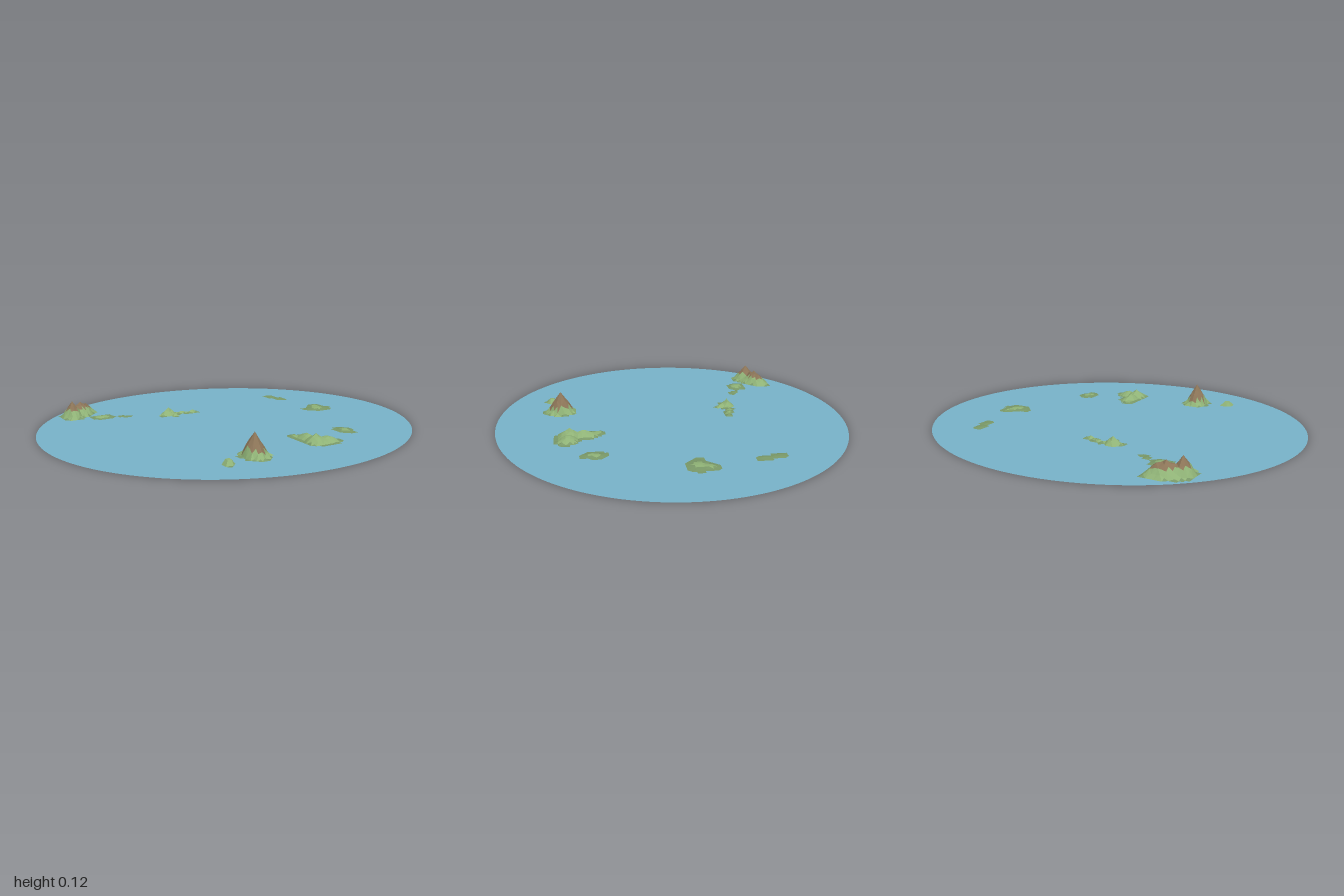
import * as THREE from 'three';

const STEP = 0.02; // terrain grid spacing
const SHORE = 0.001; // height of the waterline vertices

function material(name, color, side = THREE.FrontSide) {
  const m = new THREE.MeshStandardMaterial({ color, side, flatShading: true });
  m.name = name;
  return m;
}

// Repeatable variation for a grid point, 0..1
function hash(i, j) {
  const s = Math.sin(i * 127.1 + j * 311.7) * 43758.5453;
  return s - Math.floor(s);
}

// Height of the land at a grid point; each hill is [x, z, height, radiusX, radiusZ, turn]
function heightAt(hills, i, j) {
  let y = 0;
  for (const [x, z, height, radiusX, radiusZ, turn = 0] of hills) {
    const c = Math.cos(turn), s = Math.sin(turn);
    const dx = i * STEP - x, dz = j * STEP - z;
    const reach = Math.hypot((dx * c + dz * s) / radiusX, (dz * c - dx * s) / radiusZ);
    const d = reach + (hash(i, j) - 0.5) * 0.15 * Math.min(1, reach);
    if (d < 1) y = Math.max(y, height * (1 - d) ** 0.85);
  }
  return y + SHORE;
}

// Faceted land: grid triangles above the water, sorted into lowland, grass and rock
function makeIsland(name, materials, rockLine, ...hills) {
  const bands = [[], [], []];
  const range = (axis) => [
    Math.floor(Math.min(...hills.map((h) => h[axis] - Math.max(h[3], h[4]))) / STEP) - 1,
    Math.ceil(Math.max(...hills.map((h) => h[axis] + Math.max(h[3], h[4]))) / STEP) + 1,
  ];
  const [i0, i1] = range(0), [j0, j1] = range(1);
  const point = (i, j) => [i * STEP, heightAt(hills, i, j), j * STEP];
  const addTriangle = (...p) => {
    if (Math.max(...p.map((q) => q[1])) <= SHORE) return;
    const mean = (p[0][1] + p[1][1] + p[2][1]) / 3;
    const band = mean > rockLine ? 2 : mean > 0.0055 ? 1 : 0;
    bands[band].push(...p.flat());
  };
  for (let i = i0; i < i1; i++) {
    for (let j = j0; j < j1; j++) {
      const a = point(i, j), b = point(i, j + 1), c = point(i + 1, j + 1), d = point(i + 1, j);
      // Alternate the diagonals for a sawtooth coast
      if ((i + j) % 2 === 0) {
        addTriangle(a, b, d);
        addTriangle(b, c, d);
      } else {
        addTriangle(a, b, c);
        addTriangle(a, c, d);
      }
    }
  }
  const geometry = new THREE.BufferGeometry();
  geometry.setAttribute('position', new THREE.Float32BufferAttribute(bands.flat(), 3));
  let start = 0;
  bands.forEach((band, k) => {
    if (band.length) geometry.addGroup(start, band.length / 3, k);
    start += band.length / 3;
  });
  geometry.computeVertexNormals();
  const mesh = new THREE.Mesh(geometry, materials);
  mesh.name = name;
  return mesh;
}

export function createModel() {
  const group = new THREE.Group();
  group.name = 'archipelago';

  // Oval sheet of water
  const water = new THREE.Mesh(
    new THREE.CircleGeometry(1, 128).rotateX(-Math.PI / 2).scale(1, 1, 0.92),
    material('water', 0x78b4ca, THREE.DoubleSide));
  water.name = 'water';
  group.add(water);

  const land = [
    material('lowland', 0x7a9968),
    material('grass', 0x8fb276),
    material('rock', 0x8c7558),
  ];
  const add = (name, rockLine, ...hills) => group.add(makeIsland(name, land, rockLine, ...hills));

  // Rocky islands
  add('ridgeIsland', 0.042, [-0.66, -0.56, 0.09, 0.055, 0.075],
    [-0.6, -0.6, 0.072, 0.1, 0.068, -0.5], [-0.56, -0.62, 0.056, 0.055, 0.05]);
  add('peakIsland', 0.036, [-0.2, 0.58, 0.115, 0.064, 0.074], [-0.2, 0.6, 0.045, 0.06, 0.068]);

  // Green hills
  add('wedgeIsland', 1, [0.18, 0.54, 0.046, 0.058, 0.06], [0.18, 0.47, 0.034, 0.045, 0.075],
    [0.24, 0.55, 0.032, 0.065, 0.052, 0.3], [0.15, 0.4, 0.012, 0.022, 0.04]);
  add('tailIsland', 1, [-0.18, -0.34, 0.042, 0.05, 0.035], [-0.16, -0.31, 0.02, 0.02, 0.035],
    [-0.1, -0.34, 0.012, 0.05, 0.02, 0.2], [-0.04, -0.32, 0.018, 0.035, 0.018]);
  add('peakIslet', 1, [-0.37, 0.63, 0.045, 0.026, 0.032]);

  // Low islets and sandbars
  add('ridgeIslet', 1, [-0.52, -0.47, 0.012, 0.06, 0.045, 0.2]);
  add('tinyIslet', 1, [-0.42, -0.44, 0.004, 0.013, 0.013], [-0.39, -0.42, 0.004, 0.013, 0.013]);
  add('sandbar', 1, [0.57, -0.44, 0.006, 0.025, 0.04], [0.585, -0.37, 0.006, 0.022, 0.04]);
  add('flatIsland', 1, [0.63, -0.04, 0.009, 0.072, 0.055], [0.65, -0.09, 0.009, 0.04, 0.045]);
  add('lowIslet', 1, [0.45, 0.43, 0.009, 0.04, 0.06, 0.15]);
  return group;
}
